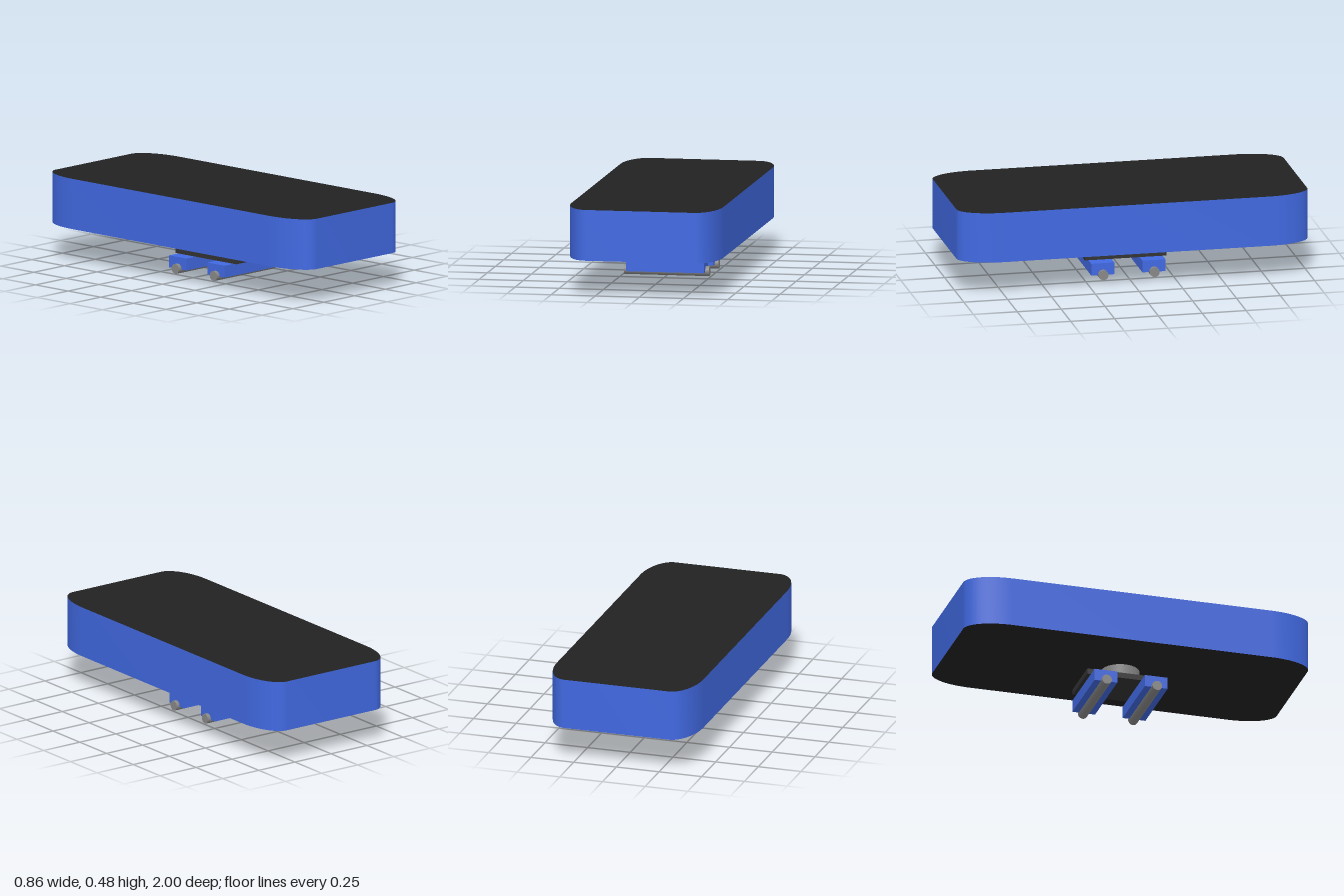
import * as THREE from 'three';
import { toCreasedNormals } from 'three/addons/utils/BufferGeometryUtils.js';

const paint = (color) => new THREE.MeshStandardMaterial({ color });

export function createModel() {
  const model = new THREE.Group();
  const blue = paint(0x4169e1);
  const black = paint(0x222222);
  const charcoal = paint(0x333333);
  const grey = paint(0x888888);

  const add = (name, geometry, material, x, y, z) => {
    const mesh = new THREE.Mesh(geometry, material);
    mesh.name = name;
    mesh.position.set(x, y, z);
    model.add(mesh);
    return mesh;
  };

  // Long slab with elliptical corners: blue wall, black top and underside
  const w = 0.43, l = 1, rx = 0.125, rz = 0.25;
  const outline = new THREE.Shape();
  outline.moveTo(w, -l + rz);
  outline.lineTo(w, l - rz);
  [[1, 1], [-1, 1], [-1, -1], [1, -1]].forEach(([sx, sy], i) => {
    const start = (i * Math.PI) / 2;
    outline.absellipse(sx * (w - rx), sy * (l - rz), rx, rz, start, start + Math.PI / 2, false, 0);
  });
  const slab = new THREE.ExtrudeGeometry(outline, { depth: 0.286, bevelEnabled: false, curveSegments: 16 });
  slab.rotateX(-Math.PI / 2);
  add('body', toCreasedNormals(slab, Math.PI / 5), [black, blue], 0, 0.197, 0);

  // Round neck and mounting plate under the body
  add('neck', new THREE.CylinderGeometry(0.109, 0.109, 0.072, 32), grey, 0, 0.161, 0);
  add('mountingPlate', new THREE.BoxGeometry(0.293, 0.032, 0.466), charcoal, 0, 0.109, 0);

  // Two cross blocks, each with a rod sunk into its underside
  for (const [end, side] of [['front', 1], ['back', -1]]) {
    add(end + 'Block', new THREE.BoxGeometry(0.44, 0.068, 0.132), blue, 0, 0.059, side * 0.146);
    const rod = new THREE.CylinderGeometry(0.028, 0.028, 0.482, 24).rotateZ(Math.PI / 2);
    add(end + 'Rod', rod, grey, 0, 0.028, side * 0.146);
  }

  return model;
}
